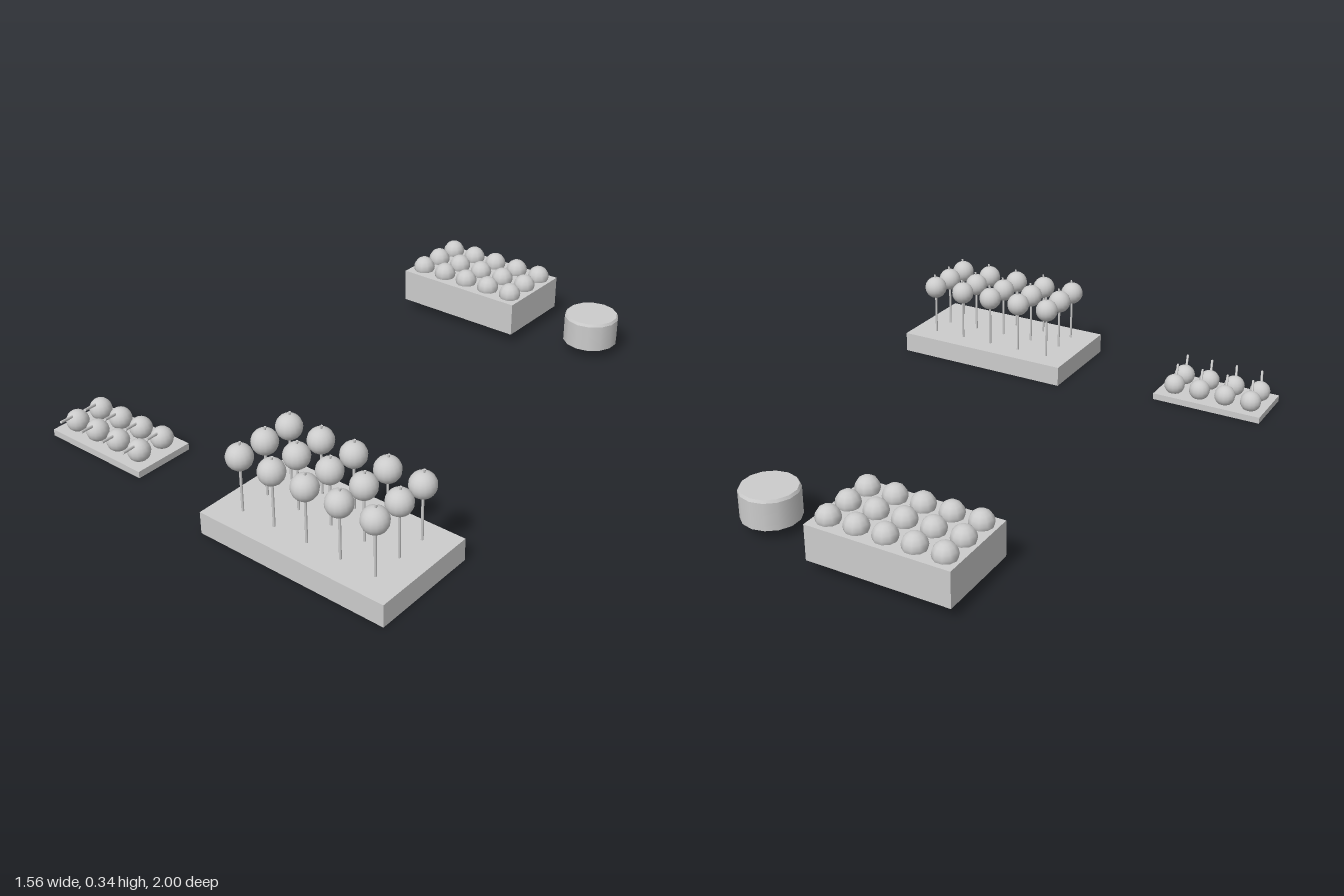
import * as THREE from 'three';

const material = new THREE.MeshStandardMaterial({ color: 0xcccccc });

function add(parent, name, geometry, x = 0, y = 0, z = 0) {
  const mesh = new THREE.Mesh(geometry, material);
  mesh.name = name;
  mesh.position.set(x, y, z);
  parent.add(mesh);
  return mesh;
}

// Box given by its lower and upper corners
function slab(parent, name, [x0, y0, z0], [x1, y1, z1]) {
  return add(parent, name, new THREE.BoxGeometry(x1 - x0, y1 - y0, z1 - z0),
    (x0 + x1) / 2, (y0 + y1) / 2, (z0 + z1) / 2);
}

// Thin round stick between two points
function stick(parent, name, from, to, radius) {
  const a = new THREE.Vector3(...from);
  const dir = new THREE.Vector3(...to).sub(a);
  const mesh = add(parent, name, new THREE.CylinderGeometry(radius, radius, dir.length(), 8));
  mesh.position.copy(a).addScaledVector(dir, 0.5);
  mesh.quaternion.setFromUnitVectors(new THREE.Vector3(0, 1, 0), dir.normalize());
  return mesh;
}

// Calls place(x, z) on a regular grid
function grid(x0, dx, columns, z0, dz, rows, place) {
  for (let row = 0; row < rows; row++) {
    for (let col = 0; col < columns; col++) place(x0 + col * dx, z0 + row * dz);
  }
}

function section(parent, name) {
  const group = new THREE.Group();
  group.name = name;
  parent.add(group);
  return group;
}

export function createModel() {
  const model = new THREE.Group();
  model.name = 'sweetsDisplay';

  // Deep box filled with balls
  const crate = section(model, 'ballCrate');
  slab(crate, 'crateBody', [-0.43, 0.04, -1], [0.1, 0.17, -0.67]);
  const crateBall = new THREE.SphereGeometry(0.043, 10, 8);
  grid(-0.377, 0.106, 5, -0.942, 0.106, 3, (x, z) => add(crate, 'crateBall', crateBall, x, 0.183, z));

  // Round tub with a chamfered top edge
  const tub = section(model, 'roundTub');
  tub.position.set(0.365, 0, -0.835);
  const sides = 14;
  add(tub, 'tubBody', new THREE.CylinderGeometry(0.105, 0.105, 0.102, sides), 0, 0.091, 0);
  add(tub, 'tubRim', new THREE.CylinderGeometry(0.099, 0.105, 0.01, sides), 0, 0.147, 0);

  // Stand with upright balls on sticks
  const stand = section(model, 'popStand');
  slab(stand, 'standBase', [0.045, 0, 0.6], [0.775, 0.08, 1]);
  const popBall = new THREE.SphereGeometry(0.045, 16, 12);
  grid(0.145, 0.1325, 5, 0.685, 0.113, 3, (x, z) => {
    add(stand, 'popBall', popBall, x, 0.28, z);
    stick(stand, 'popStick', [x, 0.06, z], [x, 0.28, z], 0.0045);
    stick(stand, 'popTip', [x - 0.002, 0.3, z], [x + 0.005, 0.335, z], 0.004);
  });

  // Flat tray with balls pierced by slanting sticks
  const tray = section(model, 'pickTray');
  slab(tray, 'trayBase', [-0.78, 0, 0.68], [-0.34, 0.025, 0.91]);
  const trayBall = new THREE.SphereGeometry(0.041, 14, 10);
  grid(-0.72, 0.1055, 4, 0.742, 0.105, 2, (x, z) => {
    add(tray, 'trayBall', trayBall, x, 0.055, z);
    stick(tray, 'trayPick', [x, 0.08, z + 0.012], [x + 0.026, 0.099, z + 0.09], 0.005);
  });

  return model;
}
